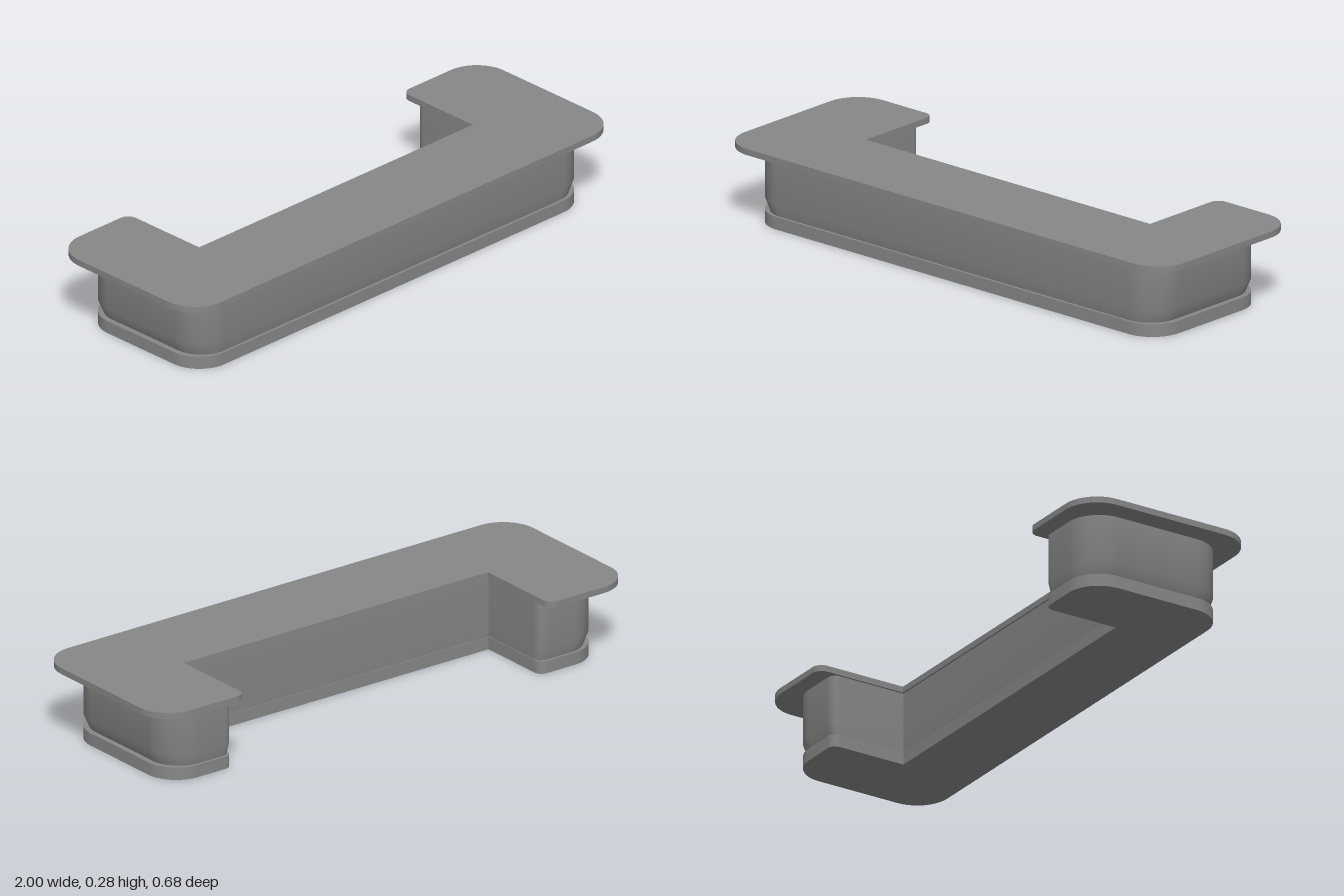
import * as THREE from 'three';
import { toCreasedNormals } from 'three/addons/utils/BufferGeometryUtils.js';

const material = new THREE.MeshStandardMaterial({ color: 0x878787 });
const CREASE = Math.PI / 6;

// U-shaped plan, drawn with shape y = -z: half width, front and back depth, outer radius,
// radius at the arm tips, half width of the notch and z of its far wall
function plan(hx, front, back, r, tip, inner, notch) {
  const s = new THREE.Shape();
  s.moveTo(-hx + r, -front);
  s.absarc(hx - r, -front + r, r, -Math.PI / 2, 0);
  s.absarc(hx - r, back - r, r, 0, Math.PI / 2);
  s.absarc(inner + tip, back - tip, tip, Math.PI / 2, Math.PI);
  s.lineTo(inner, -notch);
  s.lineTo(-inner, -notch);
  s.absarc(-inner - tip, back - tip, tip, 0, Math.PI / 2);
  s.absarc(-hx + r, back - r, r, Math.PI / 2, Math.PI);
  s.absarc(-hx + r, -front + r, r, Math.PI, Math.PI * 1.5);
  return s;
}

function slab(name, shape, y, height) {
  const g = new THREE.ExtrudeGeometry(shape, { depth: height, bevelEnabled: false, curveSegments: 10 });
  g.rotateX(-Math.PI / 2).translate(0, y, 0);
  const mesh = new THREE.Mesh(toCreasedNormals(g, CREASE), material);
  mesh.name = name;
  return mesh;
}

// Walls joining plans of equal point count, from bottom to top
function loft(name, sections) {
  const rings = sections.map(({ shape, y }) =>
    shape.getPoints(10).map((p) => new THREE.Vector3(p.x, y, -p.y)));
  const pts = [];
  for (let k = 0; k < rings.length - 1; k++) {
    const a = rings[k], b = rings[k + 1], n = a.length;
    for (let i = 0; i < n; i++) {
      const j = (i + 1) % n;
      if (a[i].distanceTo(a[j]) < 1e-5) continue;
      pts.push(a[i], a[j], b[j], a[i], b[j], b[i]);
    }
  }
  const g = new THREE.BufferGeometry().setFromPoints(pts);
  const mesh = new THREE.Mesh(toCreasedNormals(g, CREASE), material);
  mesh.name = name;
  return mesh;
}

export function createModel() {
  const group = new THREE.Group();
  group.name = 'counter';

  // Plinth, body drawn in above it, and overhanging worktop
  const body = plan(0.919, 0.278, 0.278, 0.12, 0.03, 0.652, 0.006);
  const waist = plan(0.899, 0.268, 0.268, 0.11, 0.03, 0.655, 0.009);
  group.add(
    slab('plinth', body, 0, 0.045),
    loft('body', [
      { shape: waist, y: 0.045 },
      { shape: body, y: 0.09 },
      { shape: body, y: 0.263 },
    ]),
    slab('worktop', plan(1, 0.34, 0.34, 0.125, 0.035, 0.645, 0), 0.263, 0.022),
  );
  return group;
}
